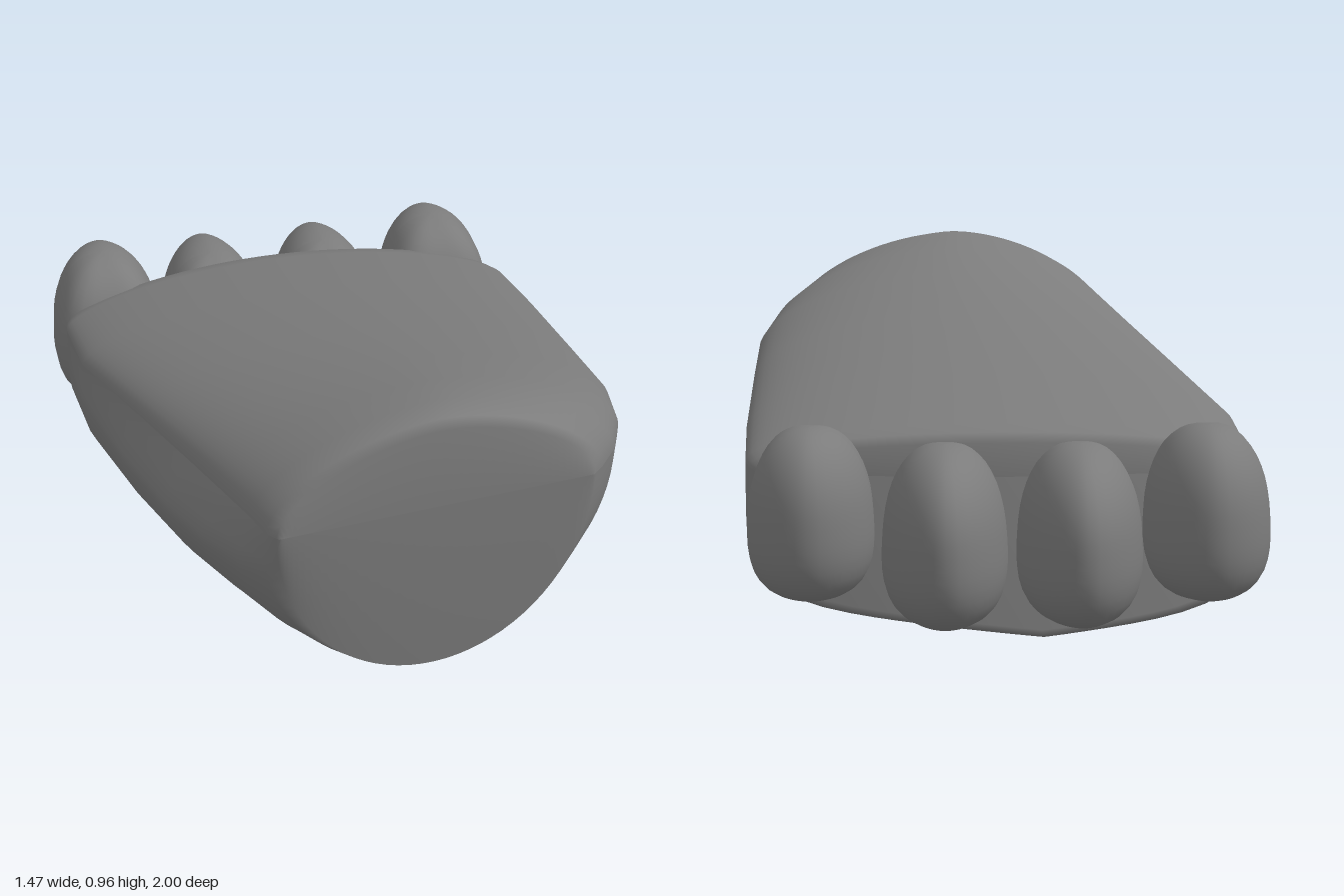
import * as THREE from 'three';

const mat = new THREE.MeshStandardMaterial({ color: 0x7c7c7c });

// Foot stations, heel to toes:
// z, left x, right x, bottom, seam, top, upper roundness, lower roundness
const STATIONS = [
  [0.968, -0.34, 0.54, 0.70, 0.70, 0.70, 1.7, 2.0],
  [0.962, -0.35, 0.545, 0.155, 0.70, 0.94, 1.7, 2.0],
  [0.93, -0.39, 0.575, 0.148, 0.695, 0.955, 1.7, 2.0],
  [0.85, -0.45, 0.635, 0.14, 0.69, 0.96, 1.7, 2.1],
  [0.70, -0.52, 0.695, 0.122, 0.665, 0.92, 1.75, 2.2],
  [0.50, -0.585, 0.73, 0.1, 0.63, 0.865, 1.8, 2.5],
  [0.20, -0.65, 0.73, 0.07, 0.575, 0.78, 1.9, 3.0],
  [-0.20, -0.71, 0.725, 0.033, 0.505, 0.67, 1.9, 4.2],
  [-0.47, -0.715, 0.71, 0.005, 0.46, 0.58, 2.0, 6.0],
  [-0.51, -0.71, 0.695, 0.0, 0.452, 0.565, 2.0, 6.0],
  [-0.53, -0.685, 0.675, 0.025, 0.445, 0.54, 2.0, 6.0],
  [-0.53, -0.685, 0.675, 0.445, 0.445, 0.445, 2.0, 6.0],
];
const HALF = 40;

// Slant the heel end, bow the toe end forward and push its sole out
function place(x, y, z) {
  const heel = Math.max(0, z / 0.965) ** 2;
  const toe = Math.min(1, Math.max(0, (-z - 0.1) / 0.42));
  const bow = 0.1 * (1 - (x / 0.72) ** 2) + 0.07 * Math.max(0, 1 - y / 0.45);
  return [x, y, z - 0.1 * x * heel - toe * bow];
}

// Half of one cross-section: side 1 = above the seam, -1 = below it
function arc([z, xl, xr, bottom, seam, top, upper, lower], side) {
  const n = side > 0 ? upper : lower;
  const h = side > 0 ? top - seam : seam - bottom;
  // The sole turns into a shallow keel toward the toes
  const keel = side < 0 && h > 0 ? 0.075 * (0.965 - z) : 0;
  // On the right flank the seam runs straight and the wall below swells past it
  const inset = Math.max(0, -0.7 + 0.29 * (z + 0.2) - xl);
  const points = [];
  for (let j = 0; j <= HALF; j++) {
    const t = Math.PI * j / HALF;
    const c = -Math.cos(t) * side, s = Math.max(0, Math.sin(t));
    const k = (Math.abs(c) ** n + s ** n) ** (-1 / n), lift = s * k;
    const left = xl + inset * (side > 0 ? 1 : Math.max(0, 1 - lift * 4));
    const x = (left + xr) / 2 + c * k * (xr - left) / 2;
    points.push(place(x, seam + side * h * lift + keel * Math.abs(x + 0.12) * lift, z));
  }
  return points;
}

// Skin over the half-sections, closed at both ends along the seam
function skin(name, side) {
  const rows = STATIONS.map(s => arc(s, side)), index = [], w = HALF + 1;
  for (let i = 0; i < rows.length - 1; i++)
    for (let j = 0; j < HALF; j++) {
      const a = i * w + j, b = a + w;
      index.push(a, a + 1, b, a + 1, b + 1, b);
    }
  const g = new THREE.BufferGeometry();
  g.setAttribute('position', new THREE.Float32BufferAttribute(rows.flat(2), 3));
  g.setIndex(index);
  g.computeVertexNormals();
  const mesh = new THREE.Mesh(g, mat);
  mesh.name = name;
  return mesh;
}

// Toe: pointed toward its tip, blocky underneath and where it enters the foot
function toe(name, x, tip, bottom, top) {
  const g = new THREE.SphereGeometry(1, 32, 24), p = g.attributes.position;
  const zc = -0.69;
  for (let i = 0; i < p.count; i++) {
    const v = new THREE.Vector3().fromBufferAttribute(p, i);
    const r = Math.hypot(v.x, v.z);
    const n = v.y < 0 ? 2.8 : 2.3, m = v.z < 0 ? 1.75 : 4;
    v.multiplyScalar((r ** n + Math.abs(v.y) ** n) ** (-1 / n));
    // Reshape the outline seen from above
    const k = r > 1e-6
      ? (Math.abs(v.x) ** m + Math.abs(v.z) ** m) ** (-1 / m) * Math.hypot(v.x, v.z) : 1;
    const width = 0.17 * (1 - 0.1 * v.y);
    p.setXYZ(i,
      x + v.x * k * width,
      (top + bottom) / 2 + v.y * (top - bottom) / 2,
      zc + v.z * k * (v.z < 0 ? zc - tip : 0.2));
  }
  g.computeVertexNormals();
  const mesh = new THREE.Mesh(g, mat);
  mesh.name = name;
  return mesh;
}

export function createModel() {
  const group = new THREE.Group();
  group.name = 'foot';
  group.add(
    skin('footTop', 1),
    skin('footSole', -1),
    toe('rightOuterToe', -0.565, -0.915, 0.12, 0.6),
    toe('rightInnerToe', -0.215, -1.0, 0.06, 0.55),
    toe('leftInnerToe', 0.155, -0.99, 0.055, 0.55),
    toe('leftOuterToe', 0.52, -0.915, 0.13, 0.6),
  );
  return group;
}
